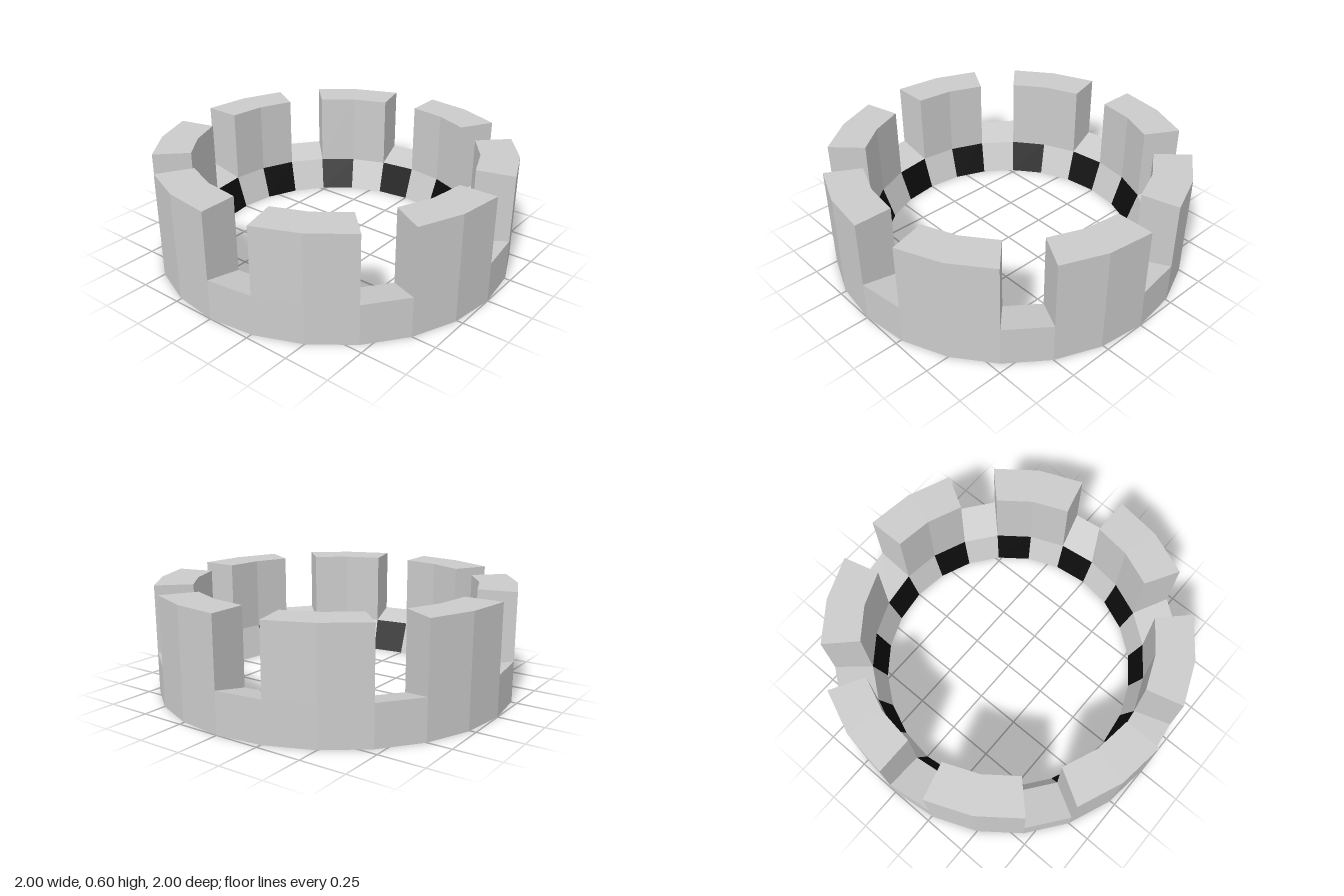
import * as THREE from 'three';

const SIDES = 24;
// Cross-section corners as [radius, height]
const OUT_BASE = [1, 0], OUT_LOW = [1, 0.225], OUT_TOP = [1, 0.6];
const IN_TOP = [0.79, 0.6], IN_LOW = [0.79, 0.183], IN_BASE = [0.73, 0];

const grey = new THREE.MeshStandardMaterial({ color: 0xcccccc, flatShading: true });
const black = new THREE.MeshStandardMaterial({ color: 0x0c0c0c, flatShading: true });

// Corner of the cross-section at ring step i
function point(i, [r, y]) {
  const a = (i / SIDES) * Math.PI * 2;
  return [r * Math.sin(a), y, r * Math.cos(a)];
}

const quad = (a, b, c, d) => [...a, ...b, ...c, ...a, ...c, ...d];

// One flat panel of the ring, between two profile corners
const panel = (i, a, b) => quad(point(i, a), point(i + 1, a), point(i + 1, b), point(i, b));

function makeMesh(name, positions, material) {
  const g = new THREE.BufferGeometry();
  g.setAttribute('position', new THREE.Float32BufferAttribute(positions, 3));
  g.computeVertexNormals();
  const mesh = new THREE.Mesh(g, material);
  mesh.name = name;
  return mesh;
}

export function createModel() {
  const group = new THREE.Group();
  group.name = 'crenellatedRing';

  // Outer wall of the base, and the sloped floors of the gaps
  const wall = [], floors = [];
  for (let i = 0; i < SIDES; i++) {
    wall.push(...panel(i, OUT_BASE, OUT_LOW));
    if (i % 3 === 0) floors.push(...panel(i, OUT_LOW, IN_LOW));
  }
  group.add(makeMesh('outerWall', wall, grey), makeMesh('gapFloors', floors, grey));

  // Eight merlons, each two panels wide
  for (let s = 1; s < SIDES; s += 3) {
    const e = s + 2;
    const profile = [OUT_LOW, OUT_TOP, IN_TOP, IN_LOW];
    const pos = [
      ...quad(...profile.map((p) => point(s, p))),
      ...quad(...profile.map((p) => point(e, p)).reverse()),
    ];
    for (let i = s; i < e; i++) {
      for (let k = 0; k < 3; k++) pos.push(...panel(i, profile[k], profile[k + 1]));
    }
    group.add(makeMesh('merlon', pos, grey));
  }

  // Checkered lining: the inner slope, then three rings on the underside
  const rows = [IN_LOW, IN_BASE];
  for (let k = 1; k <= 3; k++) rows.push([0.73 + 0.09 * k, 0]);
  const light = [], dark = [];
  for (let k = 0; k < 4; k++) {
    for (let i = 0; i < SIDES; i++) {
      ((i + k) % 2 ? light : dark).push(...panel(i, rows[k], rows[k + 1]));
    }
  }
  group.add(makeMesh('lightChecks', light, grey), makeMesh('darkChecks', dark, black));

  return group;
}
